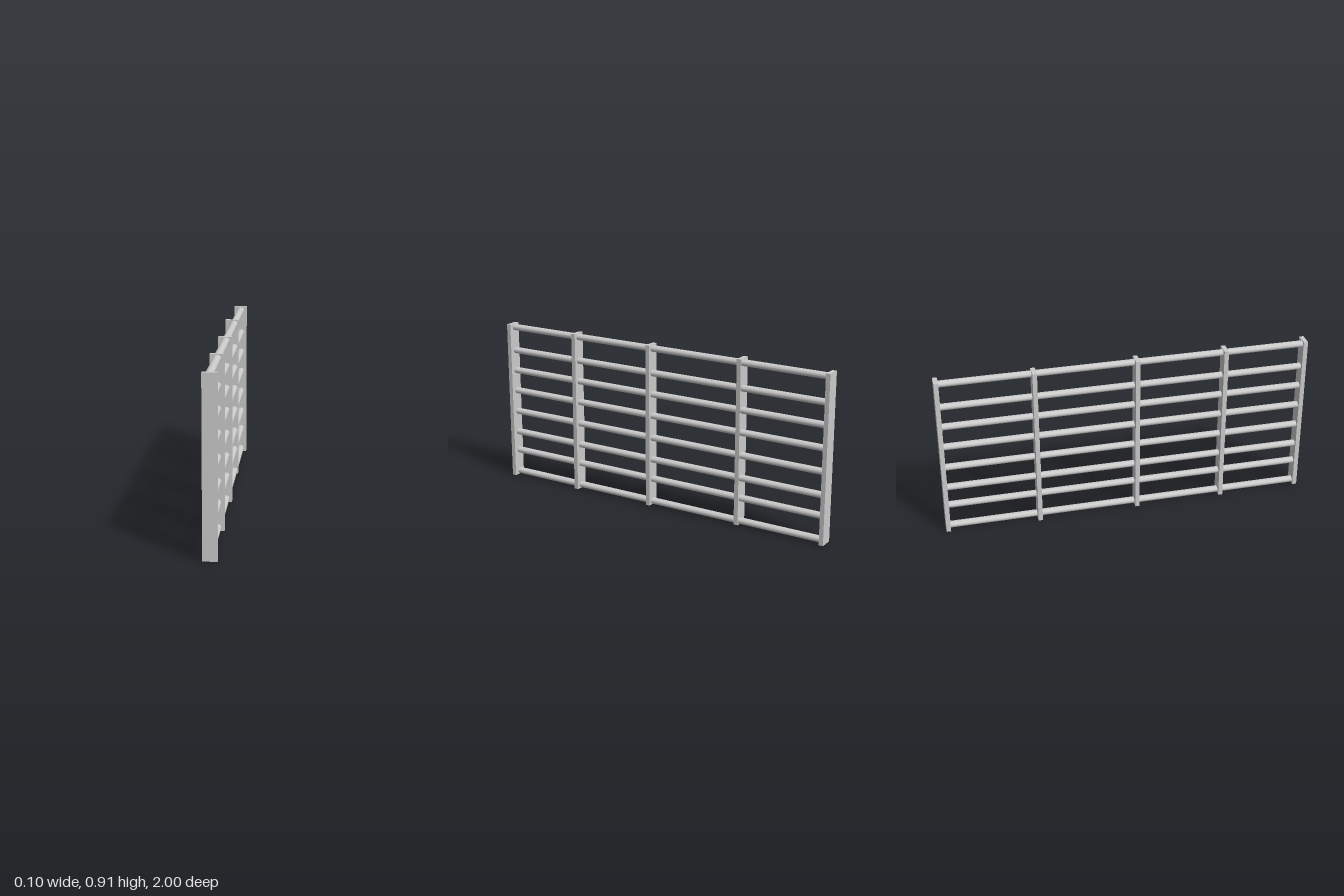
import * as THREE from 'three';

export function createModel() {
  const group = new THREE.Group();
  const material = new THREE.MeshStandardMaterial({ color: 0xcccccc });

  // Upright slabs: [x, z], the fence rising very slightly towards the back
  const postHeight = 0.906;
  const rise = z => 0.004 * (1 - z);
  const posts = [[0.012, 0.988], [0.003, 0.543], [-0.003, 0.06], [-0.016, -0.487], [-0.008, -0.988]];
  const postGeometry = new THREE.BoxGeometry(0.073, postHeight, 0.024);
  posts.forEach(([x, z], i) => {
    const post = new THREE.Mesh(postGeometry, material);
    post.name = `post${i + 1}`;
    post.position.set(x, postHeight / 2 + rise(z), z);
    group.add(post);
  });

  // Slightly oval rails running through all the posts
  const front = 0.985, back = -0.985;
  const railHeights = [0.024, 0.153, 0.265, 0.39, 0.515, 0.636, 0.754, 0.889];
  const railGeometry = new THREE.CylinderGeometry(0.0175, 0.0175, front - back, 16);
  railGeometry.rotateX(Math.PI / 2).scale(1.17, 1, 1);
  railHeights.forEach((y, i) => {
    const rail = new THREE.Mesh(railGeometry, material);
    rail.name = `rail${i + 1}`;
    rail.position.set(0, y, 0);
    rail.lookAt(0.006, y - 0.004, 1);
    group.add(rail);
  });

  return group;
}
